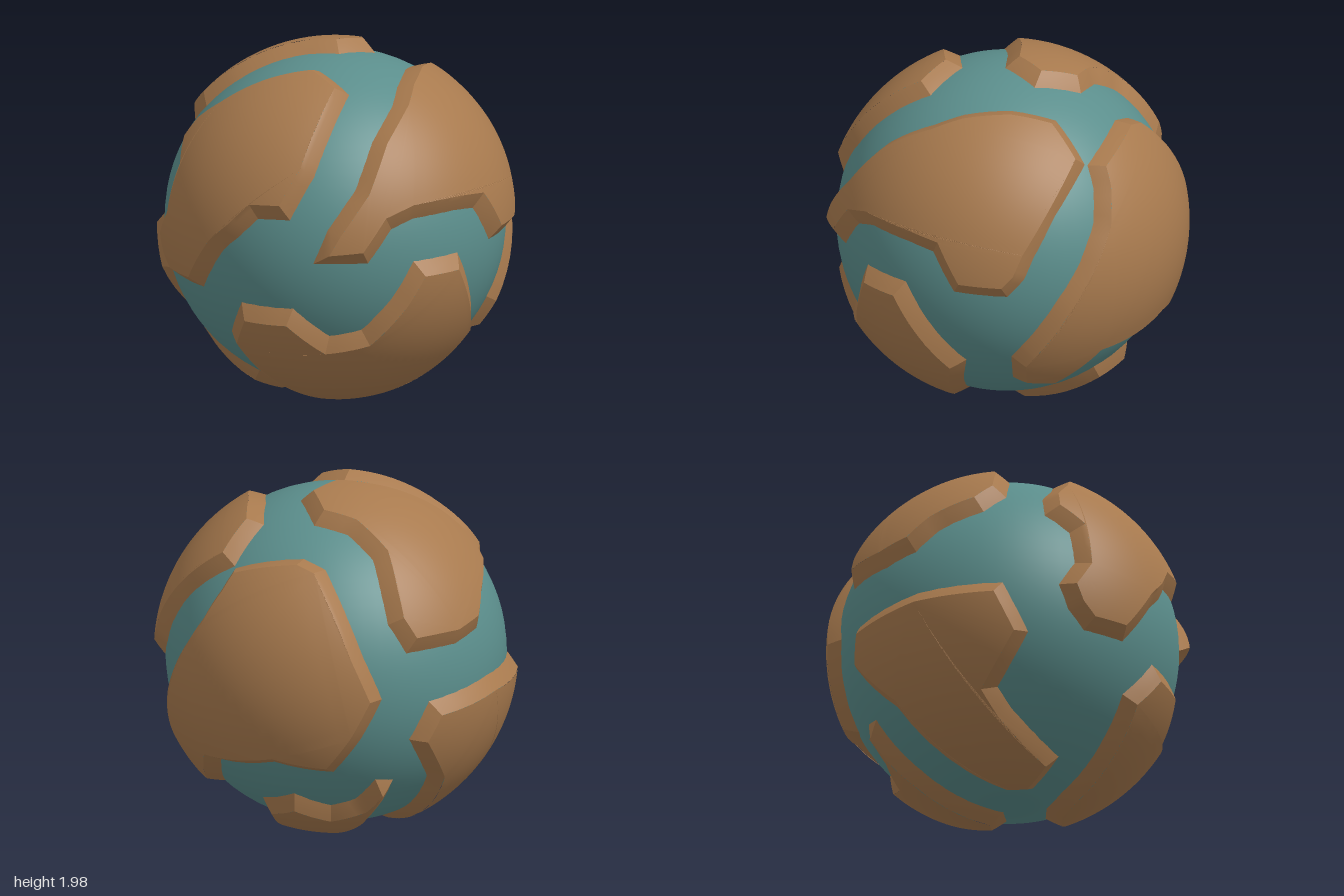
import * as THREE from 'three';
import { toCreasedNormals } from 'three/addons/utils/BufferGeometryUtils.js';

const OCEAN_R = 0.932, LAND_R = 0.995, FOOT_R = 0.925, BEVEL = 0.085;

// Coast outlines as directions from the globe's centre
const coasts = {
  frontLand: [
    [.1, .9, .22], [.36, .82, .25], [.44, .65, .48], [.48, .46, .65], [.43, .23, .79], [.26, .22, .87],
    [.17, .12, .91], [.06, .02, .93], [-.05, -.13, .92], [-.13, -.24, .89], [-.38, -.24, .81],
    [-.48, -.14, .78], [-.54, 0, .76], [-.45, .15, .8], [-.43, .35, .75], [-.5, .46, .63],
    [-.43, .6, .56], [-.3, .71, .52], [-.1, .84, .38],
  ],
  upperLeftLand: [
    [.55, 0, .75], [.6, .2, .68], [.65, .4, .52], [.6, .62, .34], [.52, .76, .1], [.43, .82, -.03],
    [.29, .85, -.24], [.16, .8, -.45], [.2, .61, -.68], [.37, .5, -.69], [.49, .4, -.68],
    [.64, .2, -.65], [.69, .08, -.62], [.75, -.02, -.55], [.88, -.01, -.28], [.9, .2, -.15],
    [.91, .22, 0], [.86, .22, .28], [.82, .18, .4], [.77, 0, .53],
  ],
  upperRightLand: [
    [.03, .93, 0], [.08, .9, -.24], [-.13, .83, -.41], [-.32, .79, -.36], [-.5, .69, -.38],
    [-.61, .53, -.46], [-.68, .38, -.5], [-.78, .22, -.46], [-.89, .22, -.15], [-.89, .26, .06],
    [-.83, .38, .18], [-.7, .48, .38], [-.56, .6, .43], [-.4, .76, .33], [-.13, .91, .1],
  ],
  backLand: [
    [.2, .61, -.68], [-.19, .7, -.58], [-.33, .66, -.57], [-.5, .46, -.63], [-.62, .24, -.64],
    [-.72, -.01, -.59], [-.62, -.24, -.65], [-.45, -.45, -.67], [-.16, -.41, -.82], [.22, -.47, -.77],
    [.34, -.66, -.55], [.55, -.61, -.43], [.66, -.42, -.5], [.65, -.33, -.57], [.57, -.07, -.73],
    [.46, .12, -.8], [.32, .34, -.81], [.24, .5, -.75],
  ],
  lowerLeftLand: [
    [.14, -.26, .88], [.44, -.26, .78], [.56, -.43, .62], [.68, -.39, .5], [.82, -.2, .4], [.88, 0, .3],
    [.93, 0, 0], [.89, -.23, -.13], [.75, -.47, -.28], [.64, -.66, -.18], [.34, -.86, -.02],
    [.17, -.91, .12], [.1, -.88, .28], [.03, -.7, .61], [-.02, -.48, .8],
  ],
  lowerRightLand: [
    [-.75, 0, .55], [-.62, -.28, .63], [-.62, -.55, .42], [-.53, -.63, .43], [-.13, -.8, .46],
    [-.06, -.9, .22], [-.16, -.91, .1], [-.38, -.85, 0], [-.73, -.54, -.2], [-.78, -.27, -.44],
    [-.86, -.05, -.36], [-.93, 0, .1],
  ],
  bottomLand: [
    [.19, -.9, -.15], [.14, -.81, -.43], [.06, -.69, -.63], [-.19, -.61, -.68], [-.33, -.69, -.53],
    [-.46, -.64, -.49], [-.6, -.5, -.5], [-.66, -.52, -.4], [-.42, -.79, -.26], [.03, -.93, -.05],
  ],
};

// Splits a triangle along great circles; each corner is { d: direction, r: radius }
function split(a, b, c, level, out) {
  if (level === 0) {
    for (const p of [a, b, c]) out.push(p.d.x * p.r, p.d.y * p.r, p.d.z * p.r);
    return;
  }
  const mid = (p, q) => ({ d: p.d.clone().add(q.d).normalize(), r: (p.r + q.r) / 2 });
  const ab = mid(a, b), bc = mid(b, c), ca = mid(c, a);
  split(a, ab, ca, level - 1, out);
  split(ab, b, bc, level - 1, out);
  split(ca, bc, c, level - 1, out);
  split(ab, bc, ca, level - 1, out);
}

// Raised plate with a domed top and bevelled coast
function landGeometry(points) {
  let dirs = points.map((p) => new THREE.Vector3(...p).normalize());
  const n = dirs.reduce((s, d) => s.add(d), new THREE.Vector3()).normalize();
  const u = new THREE.Vector3(0.31, 0.52, 0.8).cross(n).normalize();
  const v = n.clone().cross(u);
  const flatten = (d) => new THREE.Vector2(d.dot(u), d.dot(v)).multiplyScalar(Math.sqrt(2 / (1 + d.dot(n))));
  if (THREE.ShapeUtils.isClockWise(dirs.map(flatten))) dirs.reverse();

  const count = dirs.length;
  const inner = dirs.map((d, i) => {
    const n1 = dirs[(i + count - 1) % count].clone().cross(d).normalize();
    const n2 = d.clone().cross(dirs[(i + 1) % count]).normalize();
    const miter = BEVEL / Math.max(0.75, 1 + n1.dot(n2));
    return d.clone().addScaledVector(n1.add(n2), miter).normalize();
  });
  const top = inner.map((d) => ({ d, r: LAND_R }));
  const foot = dirs.map((d) => ({ d, r: FOOT_R }));

  const out = [];
  for (const [a, b, c] of THREE.ShapeUtils.triangulateShape(inner.map(flatten), [])) {
    split(top[a], top[b], top[c], 4, out);
  }
  for (let i = 0; i < count; i++) {
    const j = (i + 1) % count;
    split(foot[i], foot[j], top[j], 2, out);
    split(foot[i], top[j], top[i], 2, out);
  }
  const geometry = new THREE.BufferGeometry();
  geometry.setAttribute('position', new THREE.Float32BufferAttribute(out, 3));
  return toCreasedNormals(geometry, 0.3);
}

export function createModel() {
  const oceanTeal = new THREE.MeshStandardMaterial({ color: 0x5b8e8c });
  oceanTeal.name = 'oceanTeal';
  const landBrown = new THREE.MeshStandardMaterial({ color: 0xa87a4e });
  landBrown.name = 'landBrown';

  const globe = new THREE.Group();
  globe.name = 'globe';
  const ocean = new THREE.Mesh(new THREE.SphereGeometry(OCEAN_R, 64, 40), oceanTeal);
  ocean.name = 'ocean';
  globe.add(ocean);

  for (const [name, points] of Object.entries(coasts)) {
    const land = new THREE.Mesh(landGeometry(points), landBrown);
    land.name = name;
    globe.add(land);
  }
  globe.position.y = LAND_R;

  const model = new THREE.Group();
  model.add(globe);
  return model;
}
